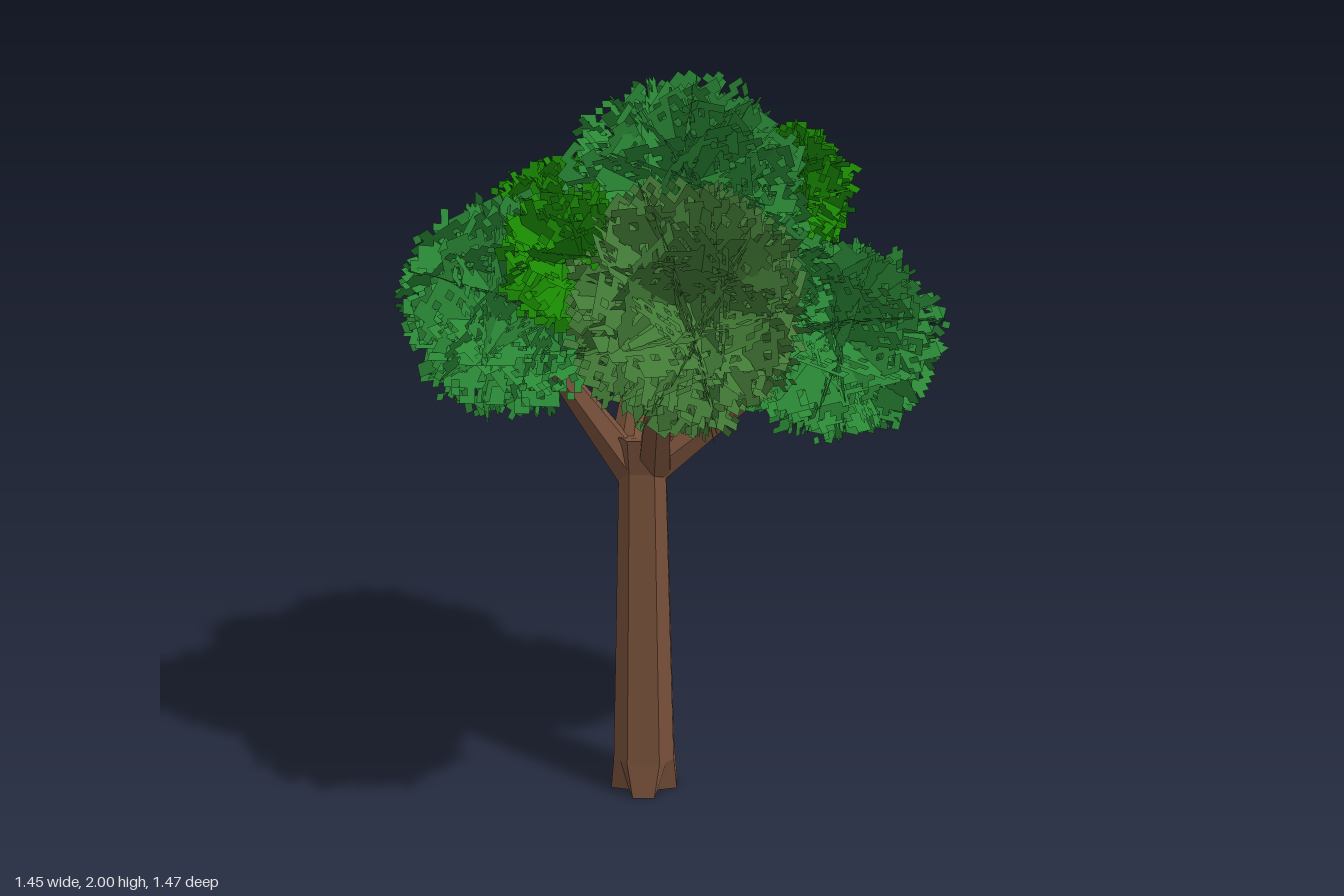
import * as THREE from 'three';

// Seeded random numbers
function seeded(seed) {
  let s = seed;
  return () => {
    s = (s + 0x6d2b79f5) | 0;
    let t = Math.imul(s ^ (s >>> 15), 1 | s);
    t = (t + Math.imul(t ^ (t >>> 7), 61 | t)) ^ t;
    return ((t ^ (t >>> 14)) >>> 0) / 4294967296;
  };
}

const bark = new THREE.MeshStandardMaterial({ color: 0x764f39, flatShading: true });
const leafMaterial = (color) => new THREE.MeshStandardMaterial({ color, side: THREE.DoubleSide });
const green = leafMaterial(0x2a8836);
const olive = leafMaterial(0x427a36);
const bright = leafMaterial(0x1a8a02);

// Four-lobed trunk: rings of [height, radius, half angle of a lobe, depth of the diagonal grooves]
function makeTrunk() {
  const rings = [[0, 0.09, 18, 0.66], [0.1, 0.088, 28, 1.03], [0.5, 0.077, 28, 1.03], [0.95, 0.066, 28, 1.03], [1.05, 0.085, 24, 0.9]];
  const sides = 12, pos = [], index = [];
  for (const [y, r, lobe, groove] of rings) {
    const corners = [-lobe, lobe, 45];
    for (let i = 0; i < sides; i++) {
      const a = THREE.MathUtils.degToRad(Math.floor(i / 3) * 90 + corners[i % 3]);
      const k = r * (i % 3 === 2 ? groove : 1.09);
      pos.push(Math.sin(a) * k, y, Math.cos(a) * k);
    }
  }
  for (let j = 0; j < rings.length - 1; j++) {
    for (let i = 0; i < sides; i++) {
      const a = j * sides + i, b = j * sides + ((i + 1) % sides);
      index.push(a, b, b + sides, a, b + sides, a + sides);
    }
  }
  // End caps
  const top = (rings.length - 1) * sides, c = pos.length / 3;
  pos.push(0, 0, 0, 0, 1.03, 0);
  for (let i = 0; i < sides; i++) {
    const n = (i + 1) % sides;
    index.push(c, n, i, c + 1, top + i, top + n);
  }
  const geo = new THREE.BufferGeometry();
  geo.setAttribute('position', new THREE.Float32BufferAttribute(pos, 3));
  geo.setIndex(index);
  geo.computeVertexNormals();
  const mesh = new THREE.Mesh(geo, bark);
  mesh.position.set(-0.092, 0, -0.035);
  mesh.name = 'trunk';
  return mesh;
}

// Tapered six-sided limb between two points
function makeLimb(name, from, to, r0, r1) {
  const a = new THREE.Vector3(...from), b = new THREE.Vector3(...to);
  const dir = b.clone().sub(a);
  const mesh = new THREE.Mesh(new THREE.CylinderGeometry(r1, r0, dir.length(), 6), bark);
  mesh.position.copy(a).add(b).multiplyScalar(0.5);
  mesh.quaternion.setFromUnitVectors(new THREE.Vector3(0, 1, 0), dir.normalize());
  mesh.name = name;
  return mesh;
}

// Leaf cluster: flat cards crossing at the centre, each cut into a stepped, perforated outline
function makeCluster(name, center, radii, material, cards, seed) {
  const rand = seeded(seed), pos = [], nor = [], index = [];
  const r = (radii[0] + radii[1] + radii[2]) / 3;
  const half = Math.round(r / 0.02), cell = 1 / half;
  const normal = new THREE.Vector3(), q = new THREE.Quaternion(), spin = new THREE.Quaternion();
  const zAxis = new THREE.Vector3(0, 0, 1), v = new THREE.Vector3();
  const offset = rand() * 6;

  for (let k = 0; k < cards; k++) {
    // Evenly spread card directions over a half sphere
    const h = (k + 0.5) / cards, a = k * 2.39996 + offset, s = Math.sqrt(1 - h * h);
    normal.set(Math.cos(a) * s, h, Math.sin(a) * s);
    q.setFromUnitVectors(zAxis, normal).multiply(spin.setFromAxisAngle(zAxis, rand() * Math.PI));
    const shift = (rand() - 0.5) * 0.2;

    const quad = (x0, x1, y0, y1) => {
      const base = pos.length / 3;
      for (const [x, y] of [[x0, y0], [x1, y0], [x1, y1], [x0, y1]]) {
        v.set(x * cell, y * cell, shift).applyQuaternion(q);
        pos.push(v.x, v.y, v.z);
        nor.push(normal.x, normal.y, normal.z);
      }
      index.push(base, base + 1, base + 2, base, base + 2, base + 3);
    };

    // Ragged rim, and holes that thin the card towards it
    const rim = Array.from({ length: 36 }, () => 0.85 + rand() * 0.16);
    const filled = (x, y) => {
      const px = (x + 0.5) * cell, py = (y + 0.5) * cell;
      const d = Math.pow(Math.abs(px) ** 2.5 + Math.abs(py) ** 2.5, 0.4);
      const sector = Math.floor(((Math.atan2(py, px) + Math.PI) / (2 * Math.PI)) * 35.99);
      return d < rim[sector] && rand() < 0.9 - 0.28 * d * d;
    };

    // Join neighbouring cells of each row into strips
    for (let y = -half - 1; y <= half; y++) {
      let start = null;
      for (let x = -half - 1; x <= half + 1; x++) {
        const on = x <= half && filled(x, y);
        if (on && start === null) start = x;
        if (!on && start !== null) {
          quad(start, x, y, y + 1);
          start = null;
        }
      }
    }
  }

  const geo = new THREE.BufferGeometry();
  geo.setAttribute('position', new THREE.Float32BufferAttribute(pos, 3));
  geo.setAttribute('normal', new THREE.Float32BufferAttribute(nor, 3));
  geo.setIndex(index);
  const mesh = new THREE.Mesh(geo, material);
  mesh.position.set(...center);
  mesh.scale.set(...radii);
  mesh.name = name;
  return mesh;
}

export function createModel() {
  const tree = new THREE.Group();
  tree.name = 'tree';
  tree.add(makeTrunk());

  // Branches fanning out of the fork
  const branches = [
    ['sideBranchA', [-0.1, 0.92, -0.03], [-0.4, 1.36, 0.02], 0.055, 0.02],
    ['sideBranchB', [-0.07, 0.96, -0.03], [0.33, 1.27, -0.03], 0.058, 0.02],
    ['frontBranch', [-0.06, 0.95, -0.03], [-0.03, 1.42, 0.36], 0.05, 0.022],
    ['backBranch', [-0.11, 0.92, -0.05], [-0.1, 1.32, -0.47], 0.055, 0.022],
    ['topBranch', [-0.06, 0.95, -0.035], [-0.03, 1.62, -0.03], 0.04, 0.02],
    ['smallBranch', [-0.15, 1.0, -0.05], [-0.09, 1.35, -0.15], 0.035, 0.018],
  ];
  for (const b of branches) tree.add(makeLimb(...b));

  // Large outer clusters, small bright ones, and an inner one filling the gap
  const clusters = [
    ['topLeaves', [0.02, 1.7, -0.02], [0.31, 0.29, 0.3], green, 18],
    ['sideLeavesA', [-0.43, 1.41, 0.04], [0.28, 0.29, 0.28], green, 17],
    ['sideLeavesB', [0.4, 1.31, -0.05], [0.3, 0.265, 0.32], green, 18],
    ['frontLeaves', [0.03, 1.5, 0.43], [0.29, 0.3, 0.29], olive, 17],
    ['backLeaves', [-0.09, 1.43, -0.45], [0.28, 0.26, 0.27], olive, 17],
    ['brightLeavesA', [-0.24, 1.59, 0.28], [0.19, 0.18, 0.18], bright, 14],
    ['brightLeavesB', [-0.31, 1.56, -0.26], [0.2, 0.19, 0.18], bright, 14],
    ['brightLeavesC', [0.29, 1.65, -0.29], [0.19, 0.19, 0.2], bright, 14],
    ['innerLeaves', [0.12, 1.47, 0.06], [0.28, 0.27, 0.27], green, 14],
  ];
  clusters.forEach((c, i) => tree.add(makeCluster(...c, 101 + i * 37)));
  return tree;
}
